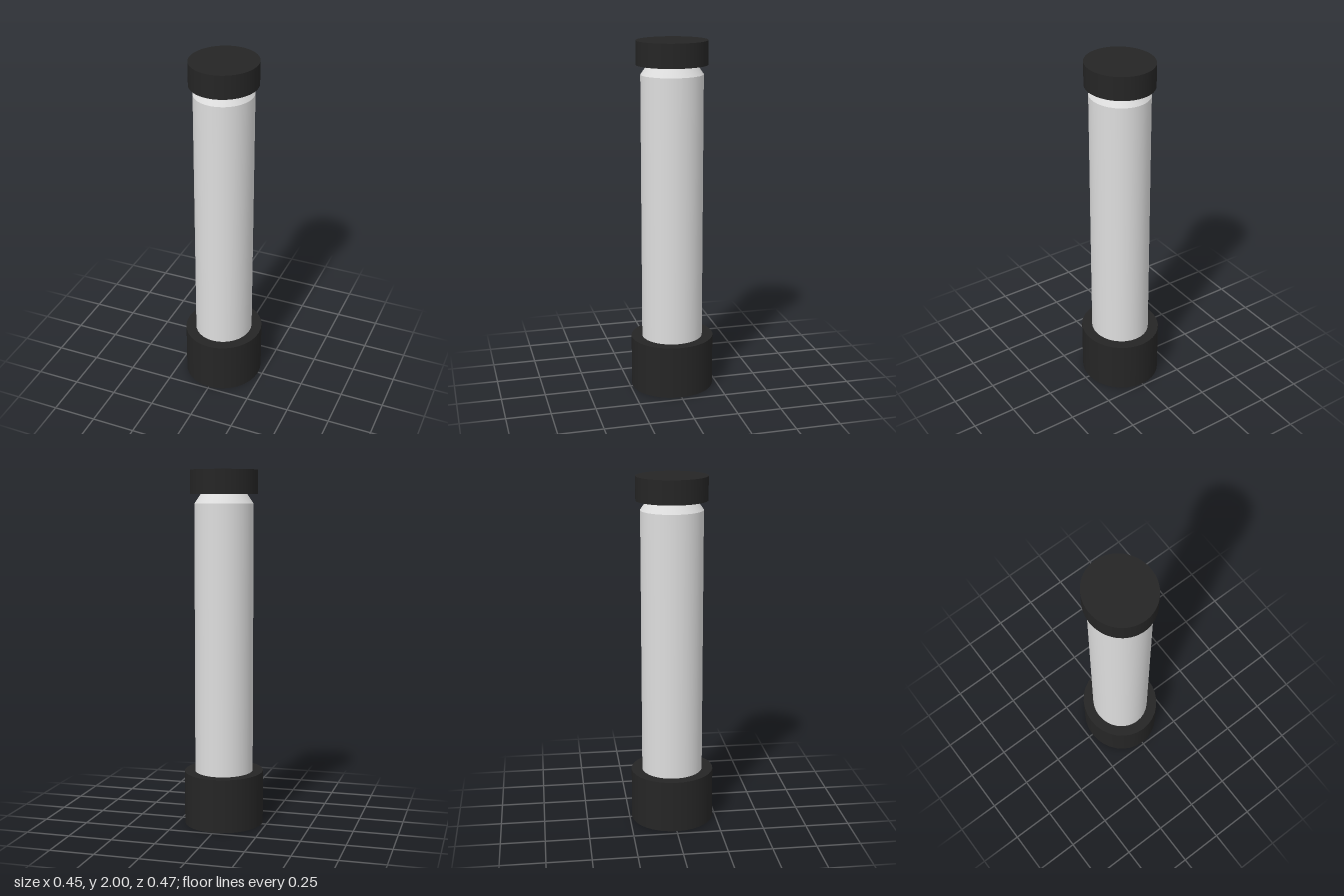
import * as THREE from 'three';

const black = new THREE.MeshStandardMaterial({ color: 0x252525 });
black.name = 'black plastic';
const silver = new THREE.MeshStandardMaterial({ color: 0xdddddd });
silver.name = 'silver metal';

const DEPTH_RATIO = 1.06; // the round sections are slightly deeper than wide

// Closed round section from y0 to y1
function section(name, bottomRadius, topRadius, y0, y1, sides, material) {
  const geometry = new THREE.CylinderGeometry(topRadius, bottomRadius, y1 - y0, sides);
  geometry.translate(0, (y0 + y1) / 2, 0);
  geometry.scale(1, 1, DEPTH_RATIO);
  const mesh = new THREE.Mesh(geometry, material);
  mesh.name = name;
  return mesh;
}

export function createModel() {
  const model = new THREE.Group();
  model.name = 'capped tube';
  model.add(
    section('base', 0.223, 0.223, 0, 0.302, 32, black),
    section('tube', 0.164, 0.164, 0.29, 1.815, 32, silver),
    section('taperedNeck', 0.164, 0.126, 1.815, 1.872, 32, silver),
    section('topCap', 0.187, 0.187, 1.868, 2, 64, black)
  );
  return model;
}
